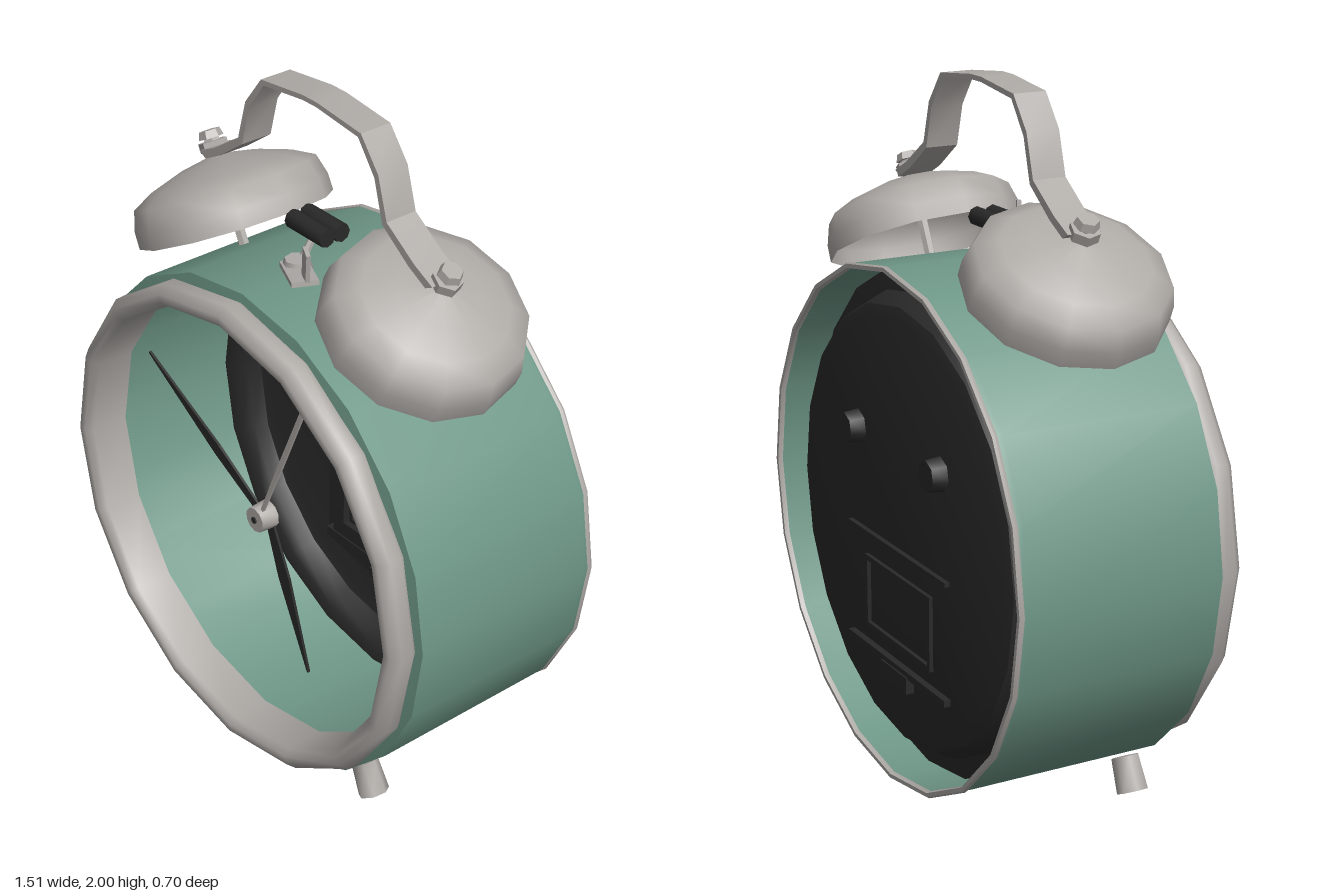
import * as THREE from 'three';
import { toCreasedNormals } from 'three/addons/utils/BufferGeometryUtils.js';

const CY = 0.755; // height of the clock's centre

function material(name, color, side = THREE.FrontSide) {
  const m = new THREE.MeshStandardMaterial({ color, side });
  m.name = name;
  return m;
}

export function createModel() {
  const green = material('green enamel', 0x6e9787, THREE.DoubleSide);
  const metal = material('warm grey metal', 0xaeaaa6, THREE.DoubleSide);
  const dark = material('dark plastic', 0x292929);

  const root = new THREE.Group();
  root.name = 'alarmClock';

  function add(name, geo, mat, pos = [0, 0, 0], rot = [0, 0, 0], parent = root) {
    const mesh = new THREE.Mesh(geo, mat);
    mesh.name = name;
    mesh.position.set(...pos);
    mesh.rotation.set(...rot);
    parent.add(mesh);
  }
  const lathe = (pts, sides) => new THREE.LatheGeometry(pts.map(p => new THREE.Vector2(...p)), sides);
  const cyl = (r1, r2, h, n) => toCreasedNormals(new THREE.CylinderGeometry(r1, r2, h, n), 0.9);
  const box = (w, h, d) => new THREE.BoxGeometry(w, h, d);
  // Turned part whose axis runs front to back
  const turned = (name, pts, sides, mat, crease) => add(name,
    toCreasedNormals(lathe(pts, sides), crease), mat, [0, CY, 0], [Math.PI / 2, 0, 0]);
  const extrude = (pts, depth) => new THREE.ExtrudeGeometry(
    new THREE.Shape(pts.map(p => new THREE.Vector2(...p))), { depth, bevelEnabled: false });

  // Drum-shaped case, open at both ends, with front bezel and thin back rim
  turned('caseShell', [[0.747, -0.338], [0.75, -0.32], [0.75, 0.265], [0.70, 0.275]], 20, green, 0.6);
  turned('bezel', [[0.725, 0.27], [0.735, 0.285], [0.733, 0.32], [0.71, 0.345],
    [0.685, 0.345], [0.668, 0.325], [0.668, 0.21]], 16, metal, 0.9);
  turned('backRim', [[0.735, -0.335], [0.738, -0.349], [0.75, -0.349],
    [0.754, -0.342], [0.75, -0.333]], 20, metal, 0.9);

  // Dished back panel: flat centre set back, flange against the case
  turned('backPanel', [[0, -0.31], [0.6, -0.31], [0.635, -0.30], [0.65, -0.275], [0.665, -0.235], [0.725, -0.225],
    [0.725, -0.21], [0.68, -0.215], [0.655, -0.24], [0.635, -0.28], [0.6, -0.29], [0, -0.29]], 20, dark, 0.7);

  // Battery door details, moulded on both sides of the panel
  function frame(name, w, h, t, d, y, z) {
    for (const s of [-1, 1]) {
      add(name, box(w, t, d), dark, [0, y + s * (h - t) / 2, z]);
      add(name, box(t, h, d), dark, [s * (w - t) / 2, y, z]);
    }
  }
  add('doorPlate', extrude([[-0.3, 0.69], [-0.3, 0.3], [-0.1, 0.27], [0.1, 0.27], [0.3, 0.3], [0.3, 0.69]], 0.01),
    dark, [0, 0, -0.291]);
  frame('doorFrame', 0.5, 0.3, 0.05, 0.03, 0.515, -0.27);
  frame('doorWindow', 0.38, 0.19, 0.012, 0.02, 0.515, -0.28);
  add('doorSill', box(0.56, 0.03, 0.03), dark, [0, 0.345, -0.27]);
  add('doorLatch', box(0.16, 0.03, 0.025), dark, [0, 0.3, -0.27]);
  add('backDoorLip', box(0.6, 0.012, 0.02), dark, [0, 0.69, -0.315]);
  frame('backDoorWindow', 0.4, 0.22, 0.015, 0.016, 0.51, -0.314);
  add('backDoorSill', box(0.6, 0.02, 0.03), dark, [0, 0.345, -0.315]);
  add('backDoorLatch', box(0.16, 0.05, 0.04), dark, [0, 0.315, -0.315]);

  // Setting knobs at the back, with their spindles showing inside
  for (const s of [-1, 1]) {
    add('settingKnob', cyl(0.045, 0.05, 0.05, 7), dark, [s * 0.25, 0.99, -0.33], [-Math.PI / 2, 0, 0]);
    add('knobSpindle', cyl(0.014, 0.014, 0.03, 6), dark, [s * 0.245, 0.99, -0.28], [Math.PI / 2, 0, 0]);
  }

  // Hands and hub
  function hand(name, x, y, w, tip, z, mat) {
    const len = Math.hypot(x, y);
    const pts = [[-w * 0.3, 0], [w * 0.3, 0], [w / 2, len * 0.4], [tip / 2, len], [-tip / 2, len], [-w / 2, len * 0.4]];
    add(name, extrude(pts, 0.008), mat, [0, CY + 0.005, z], [0, 0, Math.atan2(-x, y)]);
  }
  hand('minuteHand', -0.53, 0.29, 0.04, 0.006, 0.2, dark);
  hand('hourHand', 0.18, -0.46, 0.05, 0.006, 0.185, dark);
  hand('alarmHand', 0.24, 0.55, 0.016, 0.014, 0.215, metal);
  add('handHub', cyl(0.038, 0.042, 0.055, 10), metal, [0, CY + 0.005, 0.21], [Math.PI / 2, 0, 0]);
  add('hubCap', cyl(0.01, 0.01, 0.02, 8), dark, [0, CY + 0.005, 0.232], [Math.PI / 2, 0, 0]);

  // Tilted bells with posts and nuts, and the two front feet
  for (const s of [-1, 1]) {
    const bell = new THREE.Group();
    bell.name = s > 0 ? 'leftBell' : 'rightBell';
    bell.position.set(s * 0.39, 1.467, -0.015);
    bell.rotation.z = -s * 0.473;
    root.add(bell);
    add('bellDome', lathe([[0.285, 0], [0.284, 0.05], [0.267, 0.11], [0.205, 0.143],
      [0.12, 0.171], [0, 0.195]], 12), metal, [0, 0, 0], [0, 0, 0], bell);
    add('bellPost', cyl(0.016, 0.016, 0.32, 6), metal, [0, 0.05, 0], [0, 0, 0], bell);
    add('bellNut', cyl(0.042, 0.042, 0.028, 6), metal, [0, 0.218, 0], [0, 0.3, 0], bell);
    add('bellBolt', cyl(0.022, 0.025, 0.02, 6), metal, [0, 0.238, 0], [0, 0, 0], bell);
    add('bellScrew', cyl(0.03, 0.036, 0.022, 6), metal, [0, 0.252, 0], [0, 0.6, 0], bell);
    add('foot', cyl(0.04, 0.046, 0.1, 7), metal, [s * 0.443, 0.081, 0.18], [0, 0, s * 0.46]);
  }

  // Carrying handle: a bent flat strip
  const half = [[0.49, 1.66], [0.42, 1.695], [0.31, 1.77], [0.275, 1.89], [0.205, 1.98], [0.03, 2.0]];
  const arch = [...half, ...half.map(([x, y]) => [-x, y]).reverse()];
  const under = arch.map(([x, y]) => [x * 0.945, y - 0.014]).reverse();
  add('handle', toCreasedNormals(extrude([...arch, ...under], 0.098), 0.6), metal, [0, 0, -0.064]);

  // Hammer between the bells: clapper of two short bars on a bent plate
  add('hammerBase', cyl(0.035, 0.045, 0.035, 7), metal, [-0.005, 1.525, 0.075]);
  add('hammerPlate', box(0.15, 0.014, 0.075), metal, [0.035, 1.525, 0.1], [0, -0.45, 0.1]);
  add('hammerTab', box(0.045, 0.09, 0.012), metal, [0.09, 1.58, 0.12], [0, -0.45, -0.15]);
  add('hammerStem', cyl(0.01, 0.012, 0.11, 6), metal, [-0.01, 1.565, 0.03], [-0.6, 0, 0]);
  for (const z of [-0.035, 0.015]) {
    add('hammerBar', cyl(0.027, 0.027, 0.15, 8), dark, [-0.025, 1.605, z], [0, 0, Math.PI / 2]);
  }
  add('hammerWeb', box(0.13, 0.02, 0.05), metal, [-0.025, 1.605, -0.01]);

  return root;
}
